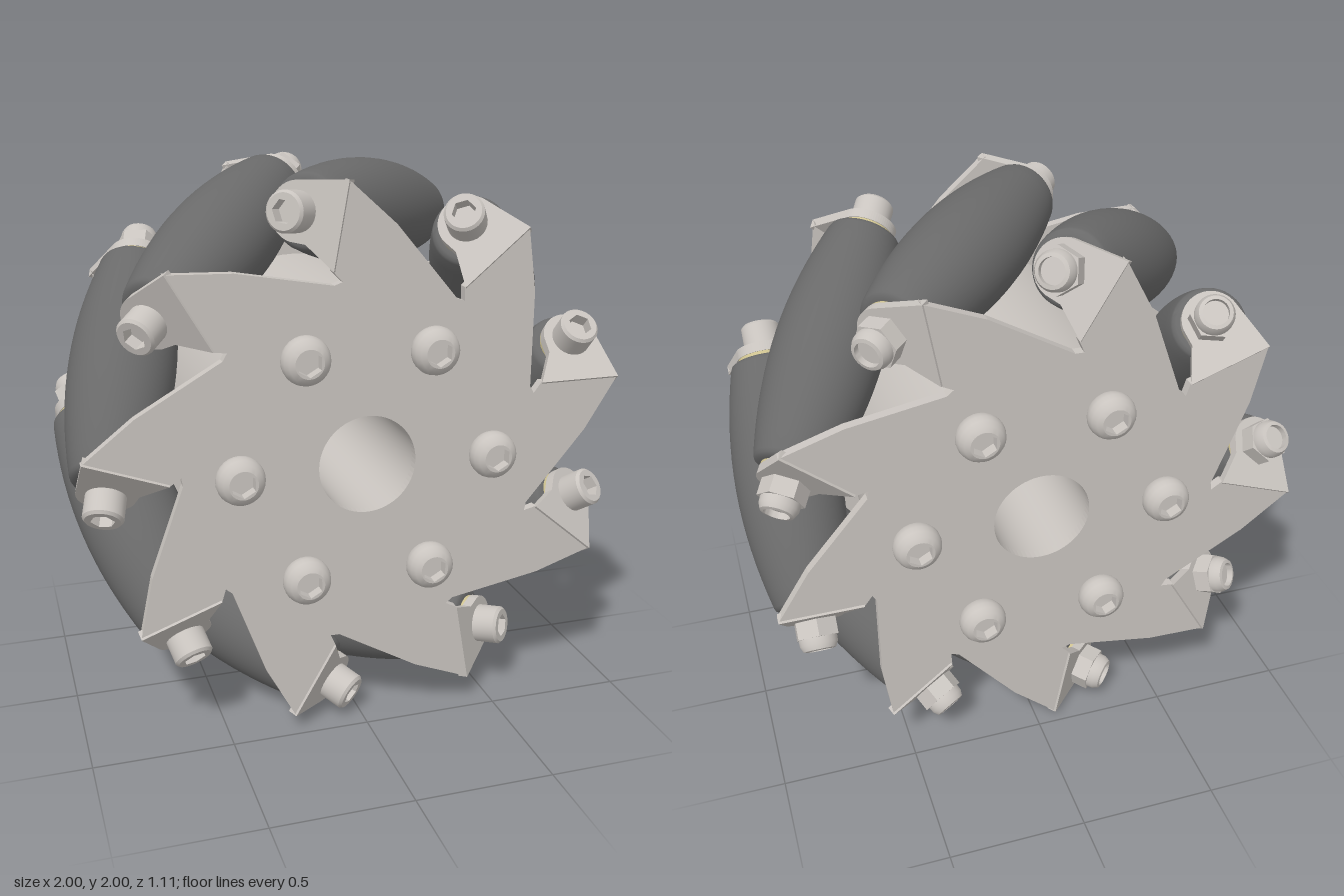
import * as THREE from 'three';
import { toCreasedNormals } from 'three/addons/utils/BufferGeometryUtils.js';

const metal = new THREE.MeshStandardMaterial({ name: 'warmGreyMetal', color: 0xc9c4bf });
const rubber = new THREE.MeshStandardMaterial({ name: 'darkRubber', color: 0x696969 });
const brass = new THREE.MeshStandardMaterial({ name: 'paleBrass', color: 0xcfc391 });

const COUNT = 9;          // rollers
const AXIS_R = 0.81;      // distance of roller axes from the wheel axis
const BORE = 0.175;
const PLATE_IN = 0.44, PLATE_OUT = 0.475;
const TAB_IN = 0.475, TAB_OUT = 0.51;   // along the roller axis

function mesh(name, geometry, material, parent) {
  const m = new THREE.Mesh(geometry, material);
  m.name = name;
  parent.add(m);
  return m;
}

// Turned part along z from [radius, z] pairs
function turned(pairs, sides = 32, crease = 0.6) {
  const pts = pairs.map(([r, z]) => new THREE.Vector2(r, z));
  return toCreasedNormals(new THREE.LatheGeometry(pts, sides).rotateX(Math.PI / 2), crease);
}

function circlePath(r) {
  return new THREE.Path().absarc(0, 0, r, 0, Math.PI * 2, true);
}

// Screw head with a hexagonal socket; profile runs from base to top rim
function socketHead(name, profile, hexR, depth) {
  const g = new THREE.Group();
  g.name = name;
  const [rimR, top] = profile[profile.length - 1];
  mesh('headSide', turned(profile, 28), metal, g);
  const rim = new THREE.Shape().absarc(0, 0, rimR, 0, Math.PI * 2, false);
  const hex = [];
  for (let i = 0; i < 6; i++) {
    const a = Math.PI / 2 - i * Math.PI / 3;
    hex.push(new THREE.Vector2(hexR * Math.cos(a), hexR * Math.sin(a)));
  }
  rim.holes.push(new THREE.Path(hex));
  mesh('headTop', new THREE.ShapeGeometry(rim, 28).translate(0, 0, top), metal, g);
  mesh('hexSocket', turned([[hexR, top], [hexR, top - depth], [0, top - depth]], 6), metal, g);
  return g;
}

// Saw-toothed side plate
function plateGeometry() {
  const tooth = [[0.608, -0.21], [0.826, 0.05], [0.945, 0.242], [0.645, 0.242], [0.616, 0.203]];
  const pts = [];
  for (let k = 0; k < COUNT; k++) {
    const a = k * Math.PI * 2 / COUNT;
    for (const [x, y] of tooth) pts.push(new THREE.Vector2(x, y).rotateAround(new THREE.Vector2(), a));
  }
  const shape = new THREE.Shape(pts);
  shape.holes.push(circlePath(BORE));
  return new THREE.ExtrudeGeometry(shape, { depth: PLATE_OUT - PLATE_IN, bevelEnabled: false, curveSegments: 32 })
    .translate(0, 0, PLATE_IN);
}

// Bent ear holding a roller end, square to the roller axis
function tabGeometry() {
  const fold = -0.17;
  const s = new THREE.Shape();
  s.moveTo(-0.165, fold);
  s.lineTo(0.135, fold);
  s.lineTo(0.1, 0.02);
  s.absarc(0, 0, 0.102, 0.2, Math.PI - 0.1, false);
  s.lineTo(-0.1, -0.05);
  s.closePath();
  return new THREE.ExtrudeGeometry(s, { depth: TAB_OUT - TAB_IN, bevelEnabled: false, curveSegments: 16 })
    .translate(0, 0, TAB_IN);
}

// Barrel whose outer line follows the wheel's rolling circle
function rollerGeometry() {
  const half = [];
  for (let i = 0; i <= 8; i++) {
    const t = 0.44 * i / 8;
    half.push([1 - Math.sqrt(AXIS_R * AXIS_R + t * t / 2), t]);
  }
  half.push([0.127, 0.452], [0.115, 0.459], [0.1, 0.462], [0.03, 0.462]);
  const mirrored = half.slice(1).reverse().map(([r, t]) => [r, -t]);
  return turned([...mirrored, ...half], 48, 0.9);
}

export function createModel() {
  const model = new THREE.Group();
  model.name = 'omnidirectionalWheel';
  const wheel = new THREE.Group();
  wheel.name = 'wheel';
  wheel.position.y = 1;
  model.add(wheel);

  // Hub drum and bore
  mesh('hubDrum', turned([[0.575, -PLATE_IN], [0.575, PLATE_IN]], 64), metal, wheel);
  mesh('hubBore', turned([[BORE, PLATE_IN], [BORE, -PLATE_IN]], 64), metal, wheel);

  // Side plates with dome bolts; the rear one is the front one turned about x
  const plateGeo = plateGeometry();
  const dome = socketHead('domeBolt',
    [[0.078, 0], [0.084, 0.015], [0.085, 0.032], [0.08, 0.052], [0.068, 0.07], [0.05, 0.08]], 0.045, 0.04);
  for (const side of ['front', 'rear']) {
    const g = new THREE.Group();
    g.name = side + 'Side';
    if (side === 'rear') g.rotation.x = Math.PI;
    mesh(side + 'Plate', plateGeo, metal, g);
    for (let i = 0; i < 6; i++) {
      const a = i * Math.PI / 3;
      const bolt = dome.clone();
      bolt.position.set(0.455 * Math.cos(a), 0.455 * Math.sin(a), PLATE_OUT);
      g.add(bolt);
    }
    wheel.add(g);
  }

  // One roller with its ears, spacers, screw and nut, along local z
  const unit = new THREE.Group();
  unit.name = 'rollerUnit';
  unit.position.x = AXIS_R;
  unit.rotation.x = -Math.PI / 4;
  mesh('roller', rollerGeometry(), rubber, unit);
  const tabGeo = tabGeometry();
  const spacerGeo = turned([[0.1, 0.455], [0.1, TAB_IN]], 32);
  for (const turn of [0, Math.PI]) {
    const end = new THREE.Group();
    end.name = turn ? 'rearEnd' : 'frontEnd';
    end.rotation.x = turn;
    mesh('ear', tabGeo, metal, end);
    mesh('spacerRing', spacerGeo, brass, end);
    if (!turn) {
      const head = socketHead('capScrew', [[0.07, 0], [0.07, 0.082], [0.061, 0.092]], 0.042, 0.045);
      head.position.z = TAB_OUT;
      end.add(head);
    } else {
      mesh('hexNut', turned([[0.082, TAB_OUT], [0.082, 0.572], [0.04, 0.572]], 6), metal, end);
      mesh('nutCollar', turned([[0.069, 0.572], [0.068, 0.595], [0.058, 0.615], [0.045, 0.618],
        [0.045, 0.595], [0, 0.595]], 28), metal, end);
    }
    unit.add(end);
  }

  // Nine units around the wheel
  for (let k = 0; k < COUNT; k++) {
    const arm = new THREE.Group();
    arm.name = 'rollerArm' + (k + 1);
    arm.rotation.z = k * Math.PI * 2 / COUNT;
    arm.add(unit.clone());
    wheel.add(arm);
  }
  return model;
}
